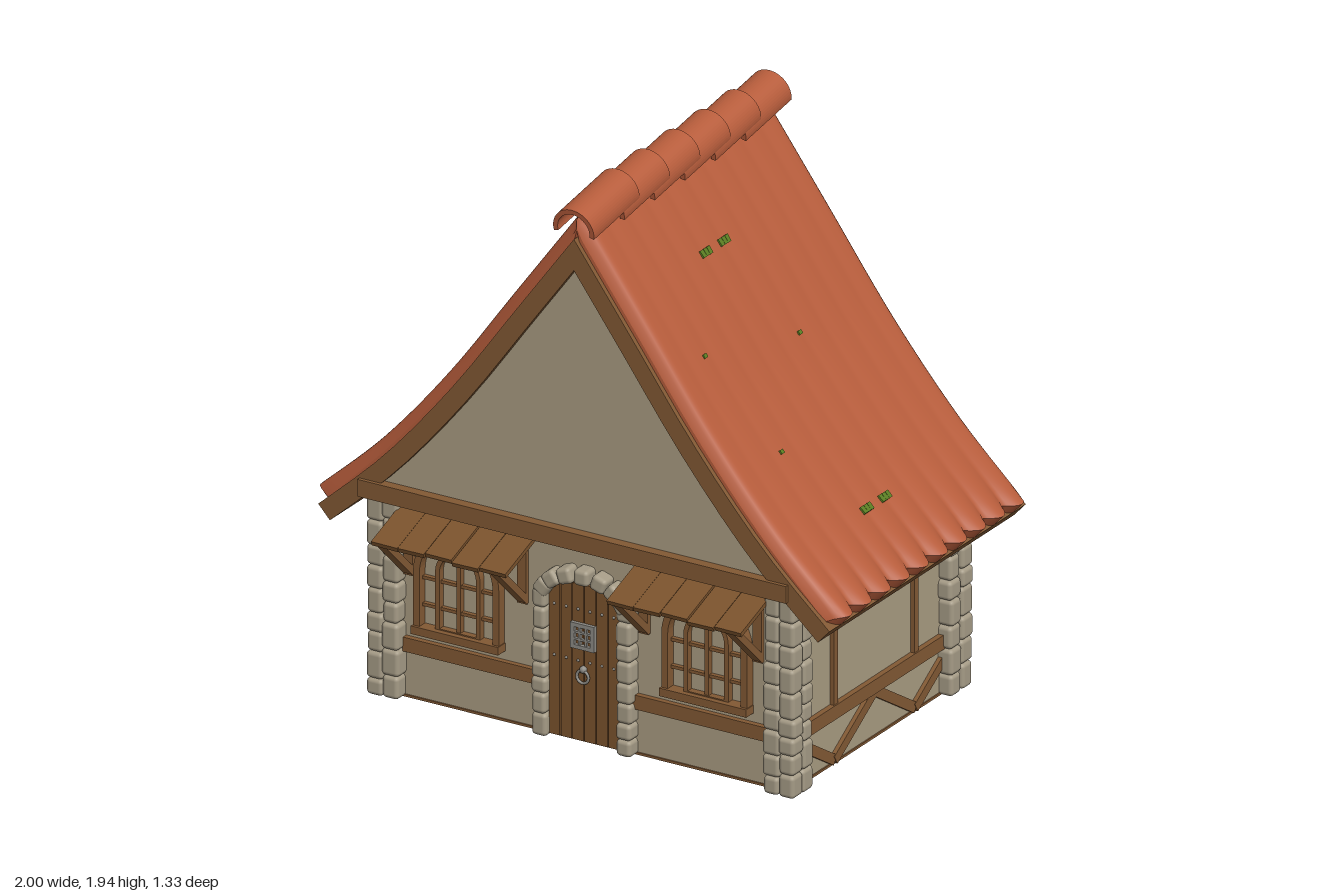
import * as THREE from 'three';
import { RoundedBoxGeometry } from 'three/addons/geometries/RoundedBoxGeometry.js';

const mat = (name, color, side = THREE.FrontSide) => {
  const m = new THREE.MeshStandardMaterial({ color, side });
  m.name = name;
  return m;
};
const M = {
  wall: mat('plaster', 0xa99c82),
  roof: mat('roof tile', 0xb65c3b),
  wood: mat('timber', 0x825934),
  plank: mat('plank wood', 0x7b532d),
  stone: mat('stone', 0xa59b86),
  metal: mat('iron', 0x8d8b85),
  moss: mat('moss', 0x5a7d22),
};

let seed = 7;
const rand = () => (seed = (seed * 16807) % 2147483647) / 2147483647;

function add(parent, name, geo, material, x = 0, y = 0, z = 0) {
  const mesh = new THREE.Mesh(geo, material);
  mesh.name = name;
  mesh.position.set(x, y, z);
  parent.add(mesh);
  return mesh;
}
const box = (p, name, m, w, h, d, x, y, z) => add(p, name, new THREE.BoxGeometry(w, h, d), m, x, y, z);
function group(parent, name, x = 0, y = 0, z = 0, ry = 0) {
  const g = new THREE.Group();
  g.name = name;
  g.position.set(x, y, z);
  g.rotation.y = ry;
  parent.add(g);
  return g;
}
// Straight timber between two points of a wall face
function beam(p, name, x1, y1, x2, y2, width, depth, m = M.wood, z = 0) {
  const b = box(p, name, m, Math.hypot(x2 - x1, y2 - y1), width, depth, (x1 + x2) / 2, (y1 + y2) / 2, z);
  b.rotation.z = Math.atan2(y2 - y1, x2 - x1);
}
function extrude(shape, depth, curveSegments = 12) {
  return new THREE.ExtrudeGeometry(shape, { depth, bevelEnabled: false, curveSegments });
}
function stone(p, w, h, d, x, y, z) {
  return add(p, 'stone', new RoundedBoxGeometry(w, h, d, 2, 0.015), M.stone, x, y, z);
}
function stoneStack(p, x, z, w, d, height, n) {
  const hs = Array.from({ length: n }, () => 0.75 + rand() * 0.5);
  const k = height / hs.reduce((a, b) => a + b);
  let y = 0;
  for (const v of hs) {
    const h = v * k;
    stone(p, w + (rand() - 0.5) * 0.012, h, d + (rand() - 0.5) * 0.012, x, y + h / 2, z);
    y += h;
  }
}

// Sagging roof slope, from ridge to eave
const slope = new THREE.SplineCurve([[0, 1.88], [0.25, 1.54], [0.5, 1.2], [0.75, 0.91], [1, 0.68]]
  .map(([x, y]) => new THREE.Vector2(x, y)));
function slopePoint(t, inset, along = 0) {
  const p = slope.getPoint(t), d = slope.getTangent(t);
  return new THREE.Vector2(Math.max(0, p.x + d.y * inset + d.x * along), p.y - d.x * inset + d.y * along);
}
function slopeLine(inset, n = 14) {
  const pts = [];
  for (let i = 0; i <= n; i++) pts.push(slopePoint(i / n, inset));
  const d = slope.getTangent(0);
  pts[0].set(0, 1.88 - inset / d.x);
  return pts.filter((p, i) => i === 0 || p.x > 0.01);
}
const mirrored = (pts) => pts.map((p) => new THREE.Vector2(-p.x, p.y));

const RZ = -0.05, RL = 1.16;

// Tiled slope: a thin box bent along the curve, scalloped at the eave
function tiledSlope() {
  const geo = new THREE.BoxGeometry(1, 1, 1, 28, 1, 100);
  const pos = geo.attributes.position;
  for (let i = 0; i < pos.count; i++) {
    const t = pos.getX(i) + 0.5, w = pos.getZ(i) + 0.5, top = pos.getY(i) > 0;
    const r = Math.abs(Math.sin(Math.PI * 10 * w)) - 1;
    const e = Math.pow(t, 10);
    const k = Math.max(0, 1 - Math.min(w, 1 - w) / 0.04);
    const round = 0.035 * (1 - Math.sqrt(1 - k * k));
    const inset = top ? round - r * (0.003 + 0.022 * e) : 0.052;
    const p = slopePoint(t, inset, 0.035 * e * r);
    pos.setXYZ(i, p.x, p.y, (w - 0.5) * RL);
  }
  geo.computeVertexNormals();
  return geo;
}

function buildRoof(root) {
  const roof = group(root, 'roof', 0, 0, RZ);
  const tiles = tiledSlope();
  for (const s of [0, 1]) {
    const half = group(roof, 'roofSlope', 0, 0, 0, s * Math.PI);
    add(half, 'roofTiles', tiles, M.roof);
    // Moss tufts lying on the tiles
    for (const [t, z] of [[0.2, 0.11], [0.2, 0], [0.8, 0.11], [0.8, 0], [0.36, 0.38], [0.42, -0.1], [0.6, 0.3]]) {
      const big = t === 0.2 || t === 0.8;
      const p = slopePoint(t, -0.001), d = slope.getTangent(t);
      for (const j of big ? [-1, 0, 1] : [0]) {
        const m = box(half, 'moss', M.moss, big ? 0.026 : 0.014, 0.008, 0.018, p.x, p.y, (s ? -z : z) + j * 0.019);
        m.rotation.z = Math.atan2(d.y, d.x) + j * 0.05;
      }
    }
  }
  // Timber deck whose ends read as barge boards
  const outer = slopeLine(0.05), inner = slopeLine(0.115);
  const deck = new THREE.Shape([...mirrored(outer).reverse(), ...outer.slice(1),
    ...inner.slice().reverse(), ...mirrored(inner).slice(1)]);
  add(roof, 'roofDeck', extrude(deck, 1.195), M.wood, 0, 0, -0.5975);
  // Overlapping half-round ridge tiles
  const arc = new THREE.Shape();
  arc.absarc(0, 0, 0.077, -0.2, Math.PI + 0.2, false);
  arc.absarc(0, 0, 0.06, Math.PI + 0.2, -0.2, true);
  const cap = extrude(arc, 0.28, 16);
  for (let i = 0; i < 6; i++) {
    const c = add(roof, 'ridgeTile', cap, M.roof, 0, 1.868, -0.603 + i * 0.185);
    c.rotation.x = 0.15;
  }
}

function buildWalls(root) {
  box(root, 'walls', M.wall, 1.52, 0.7, 0.99, 0, 0.355, -0.035);
  box(root, 'floor', M.wood, 1.53, 0.008, 1.0, 0, 0.004, -0.035);
  box(root, 'soffit', M.wood, 1.58, 0.02, 1.15, 0, 0.712, RZ);
  // Gable prism under the roof
  const line = slopeLine(0.1, 24).filter((p) => p.y > 0.72);
  const end = line[line.length - 1].x;
  const edge = [...line, new THREE.Vector2(end, 0.72)];
  const gable = new THREE.Shape([...mirrored(edge).reverse(), ...edge.slice(1)]);
  add(root, 'gable', extrude(gable, 1.15), M.wall, 0, 0, RZ - 0.575);
  for (const z of [0.535, -0.642]) box(root, 'tieBeam', M.wood, 1.62, 0.06, 0.052, 0, 0.74, z);
  // Corner piers, each an L of three stone stacks
  for (const s of [-1, 1]) for (const [zo, zi] of [[0.48, 0.42], [-0.55, -0.48]]) {
    const pier = group(root, 'cornerPier');
    for (const [x, z] of [[0.778, zo], [0.72, zo], [0.778, zi]]) stoneStack(pier, s * x, z, 0.062, 0.064, 0.7, 9);
  }
  // Timber framing of the back and both sides
  const faces = [
    ['backFrame', 0, -0.53, Math.PI, 0.69, [-0.5, 0, 0.5]],
    ['leftFrame', 0.76, -0.045, Math.PI / 2, 0.43, [-0.245, 0.245]],
    ['rightFrame', -0.76, -0.045, -Math.PI / 2, 0.43, [-0.245, 0.245]],
  ];
  for (const [name, x, z, ry, half, posts] of faces) {
    const f = group(root, name, x, 0, z, ry);
    box(f, 'rail', M.wood, half * 2, 0.05, 0.04, 0, 0.19, 0);
    for (const p of posts) {
      box(f, 'post', M.wood, 0.026, 0.5, 0.03, p, 0.455, 0);
      for (const s of [-1, 1]) {
        const top = Math.max(-half, Math.min(half, p + s * 0.25));
        beam(f, 'brace', p, 0.018, top, 0.018 + Math.abs(top - p) * 0.62, 0.036, s > 0 ? 0.03 : 0.026);
      }
    }
  }
  for (const s of [-1, 1]) box(root, 'frontRail', M.wood, 0.52, 0.05, 0.04, s * 0.43, 0.19, 0.46);
}

function buildDoor(root) {
  const door = group(root, 'door', 0, 0, 0.46);
  // Planks cut to follow the arch
  const w = 0.27 / 6, top = (x) => 0.5 + 0.06 * Math.sqrt(Math.max(0, 1 - (x / 0.14) ** 2));
  for (let i = 0; i < 6; i++) {
    const a = -0.135 + i * w + 0.002, b = a + w - 0.004;
    const plank = new THREE.Shape([[a, 0.01], [b, 0.01], [b, top(b)], [a, top(a)]].map(([x, y]) => new THREE.Vector2(x, y)));
    add(door, 'doorPlank', extrude(plank, 0.025), M.plank);
    for (const y of [0.29, 0.47]) add(door, 'stud', new THREE.SphereGeometry(0.005, 8, 6), M.metal, (a + b) / 2, y, 0.025);
  }
  box(door, 'doorBack', M.wood, 0.27, 0.5, 0.02, 0, 0.255, 0.002);
  // Iron grille and ring handle
  for (const s of [-1, 1]) {
    box(door, 'grilleSide', M.metal, 0.014, 0.09, 0.016, s * 0.038, 0.38, 0.03);
    box(door, 'grilleEdge', M.metal, 0.09, 0.014, 0.016, 0, 0.38 + s * 0.038, 0.03);
    box(door, 'grilleBar', M.metal, 0.007, 0.08, 0.012, s * 0.012, 0.38, 0.03);
    box(door, 'grilleCrossbar', M.metal, 0.08, 0.007, 0.012, 0, 0.38 + s * 0.012, 0.03);
  }
  add(door, 'handleRing', new THREE.TorusGeometry(0.022, 0.005, 8, 20), M.metal, 0, 0.24, 0.034);
  add(door, 'handleBoss', new THREE.SphereGeometry(0.013, 12, 8), M.metal, 0, 0.264, 0.03);
  // Stone jambs and arch
  for (const s of [-1, 1]) stoneStack(door, s * 0.16, 0.01, 0.054, 0.08, 0.52, 8);
  for (let i = 0; i < 7; i++) {
    const a = Math.PI * (0.09 + 0.82 * i / 6);
    const v = stone(door, 0.056, 0.056, 0.085, 0.155 * Math.cos(a), 0.5 + 0.09 * Math.sin(a), 0.01);
    v.rotation.z = (a - Math.PI / 2) * 0.75;
  }
}

function archOutline(C, r, y0, y1) {
  const s = new C();
  s.moveTo(-r, y0);
  s.lineTo(r, y0);
  s.lineTo(r, y1);
  s.absarc(0, y1, r, 0, Math.PI, false);
  s.lineTo(-r, y0);
  return s;
}
function archFrame(r, t, y0, y1, depth) {
  const s = archOutline(THREE.Shape, r, y0, y1);
  s.holes.push(archOutline(THREE.Path, r - t, y0 + t, y1));
  return extrude(s, depth, 14);
}

function buildWindow(root, x) {
  const win = group(root, 'window', x, 0, 0.46);
  add(win, 'outerFrame', archFrame(0.162, 0.024, 0.25, 0.465, 0.035), M.wood);
  add(win, 'innerFrame', archFrame(0.085, 0.016, 0.262, 0.475, 0.025), M.wood);
  box(win, 'sill', M.wood, 0.33, 0.028, 0.05, 0, 0.26, 0.02);
  box(win, 'mullion', M.wood, 0.016, 0.29, 0.02, 0, 0.41, 0.01);
  for (const y of [0.345, 0.44]) box(win, 'glazingBar', M.wood, 0.3, 0.011, 0.016, 0, y, 0.008);
  for (const s of [-1, 1]) beam(win, 'spoke', s * 0.055, 0.53, s * 0.108, 0.577, 0.014, 0.02, M.wood, 0.01);
}

function buildAwning(root, x) {
  const awning = group(root, 'awning', x);
  for (let i = 0; i < 5; i++) {
    const b = box(awning, 'awningPlank', M.plank, 0.099, 0.016, 0.22 + (i % 2) * 0.006, (i - 2) * 0.102, 0.645 + (i % 3) * 0.003, 0.556);
    b.rotation.set(0.34, 0, (i % 2 - 0.5) * 0.03);
  }
  // Diagonal struts back to the wall
  for (const sx of [-0.23, 0.2]) {
    const strut = box(awning, 'awningStrut', M.wood, 0.034, 0.024, 0.235, sx, 0.522, 0.545);
    strut.rotation.x = -0.76;
    box(awning, 'awningWallPost', M.wood, 0.034, 0.23, 0.02, sx, 0.55, 0.466);
  }
}

export function createModel() {
  const root = new THREE.Group();
  root.name = 'cottage';
  buildWalls(root);
  buildRoof(root);
  buildDoor(root);
  for (const x of [-0.478, 0.46]) buildWindow(root, x);
  for (const x of [-0.442, 0.448]) buildAwning(root, x);
  return root;
}
